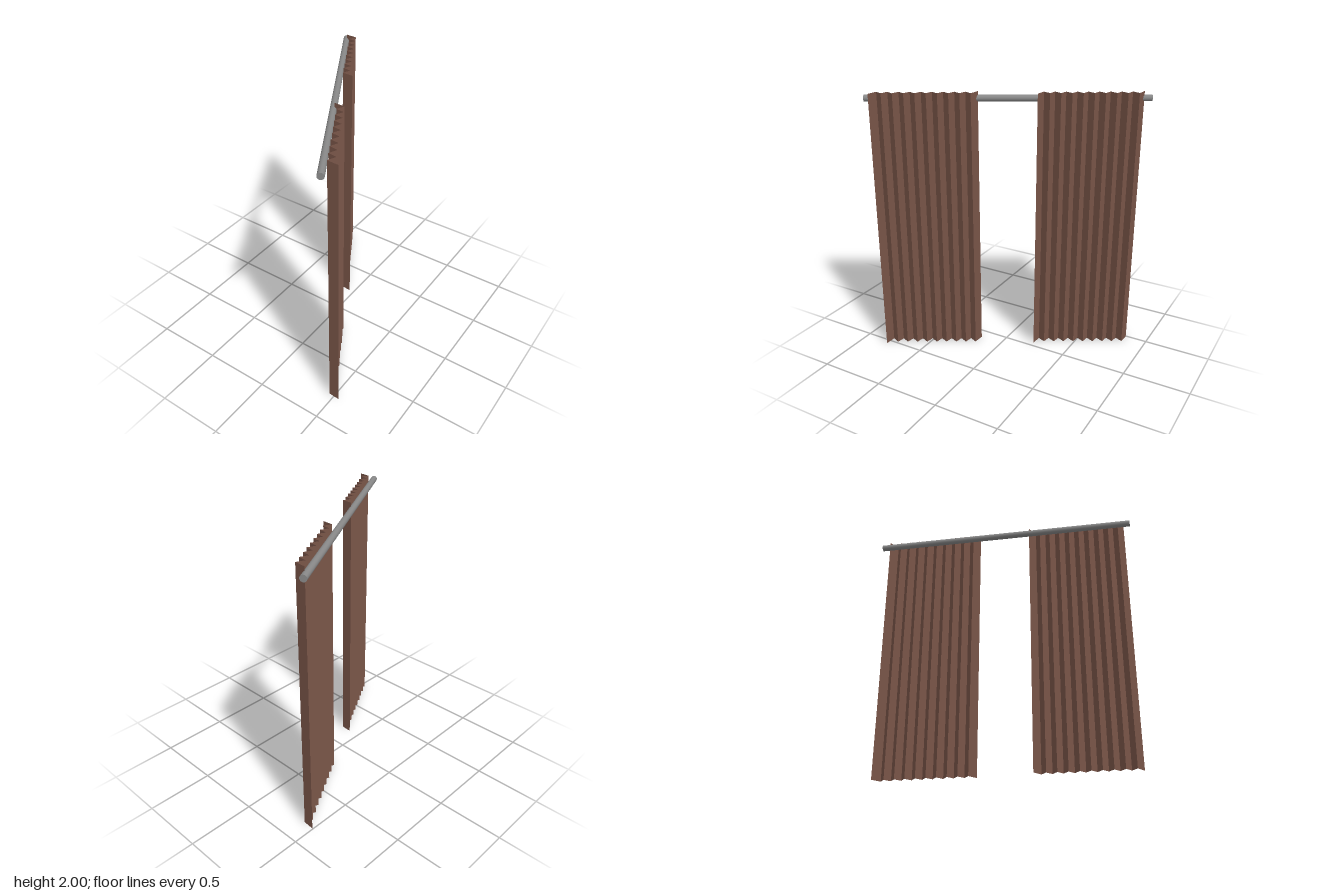
import * as THREE from 'three';

const HEIGHT = 2;
const FOLDS = 19;         // flat strips per curtain
const STEP = 0.0388;      // strip advance along the rod
const DEPTH = 0.025;      // half depth of a pleat
const END_DEPTH = 0.045;  // the hems flare a little further

// Pleated sheet: a zigzag cross-section extruded straight up
function pleatedSheet() {
  const pos = [], index = [];
  for (let i = 0; i <= FOLDS; i++) {
    const end = i === 0 || i === FOLDS;
    const side = i % 2 ? -1 : 1;
    const x = (i - FOLDS / 2) * STEP * (end ? 1.023 : 1);
    const z = side * (end ? END_DEPTH : DEPTH);
    pos.push(x, 0, z, x, HEIGHT, z);
    if (i < FOLDS) {
      const a = i * 2;
      index.push(a, a + 2, a + 1, a + 1, a + 2, a + 3);
    }
  }
  const geo = new THREE.BufferGeometry();
  geo.setAttribute('position', new THREE.Float32BufferAttribute(pos, 3));
  geo.setIndex(index);
  geo.computeVertexNormals();
  return geo;
}

export function createModel() {
  const model = new THREE.Group();
  model.name = 'curtains';

  const cloth = new THREE.MeshStandardMaterial({
    color: 0x795548, flatShading: true, side: THREE.DoubleSide,
  });
  const metal = new THREE.MeshStandardMaterial({ color: 0x888888 });

  // Everything is laid out along x, then turned to the diagonal
  const assembly = new THREE.Group();
  assembly.name = 'curtainAssembly';
  assembly.rotation.y = -Math.PI / 3;
  model.add(assembly);

  // Rod
  const rod = new THREE.Mesh(new THREE.CylinderGeometry(0.024, 0.024, 2.028, 16), metal);
  rod.name = 'rod';
  rod.rotation.z = Math.PI / 2;
  rod.position.set(-0.011, 1.95, 0.0195);
  assembly.add(rod);

  // Two pleated curtains hanging behind the rod
  const sheet = pleatedSheet();
  for (const [name, side] of [['leftCurtain', 1], ['rightCurtain', -1]]) {
    const curtain = new THREE.Mesh(sheet, cloth);
    curtain.name = name;
    curtain.position.set(side * 0.585 - 0.0065, 0, -0.0325);
    assembly.add(curtain);
  }

  return model;
}
